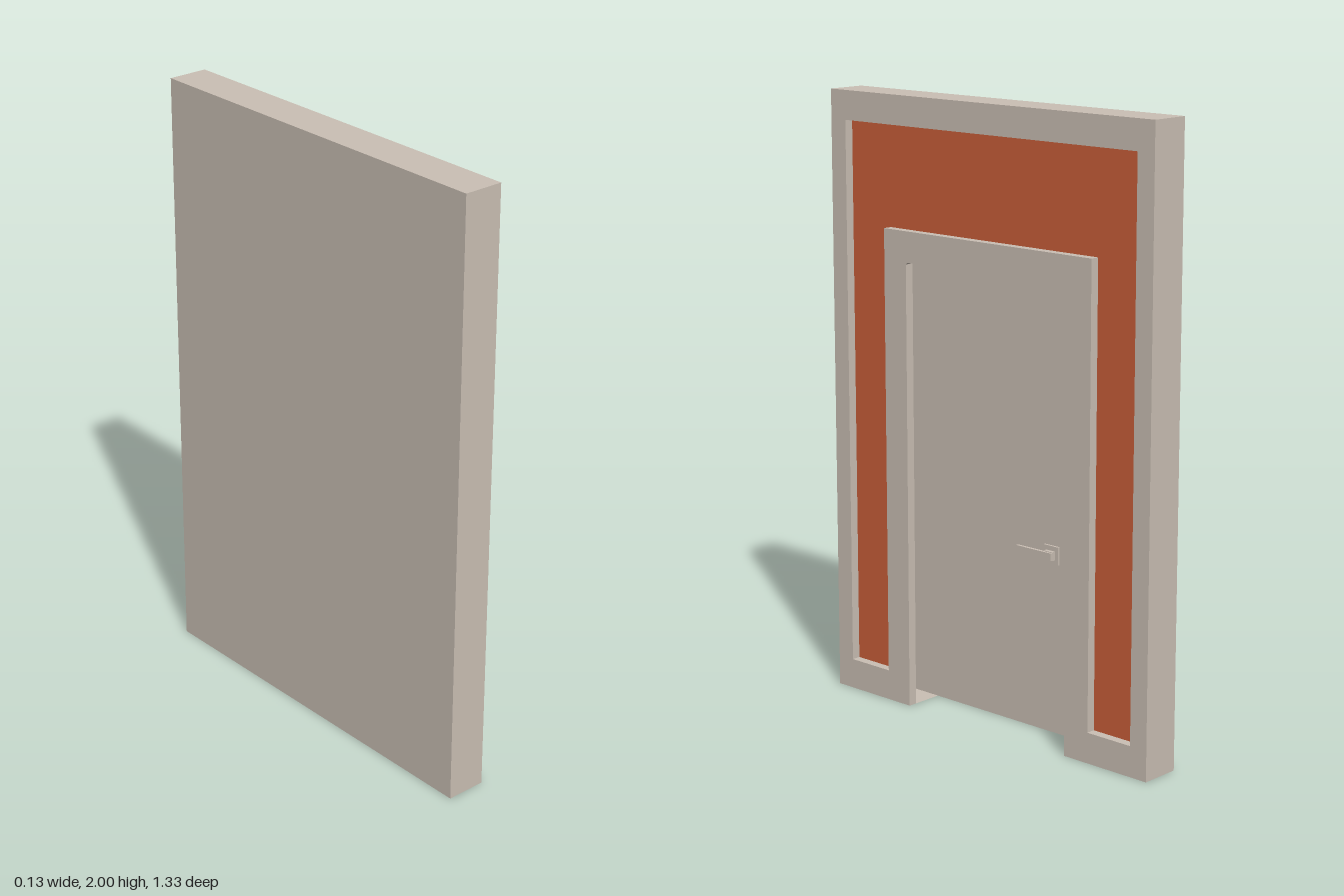
import * as THREE from 'three';

const T = 0.067, H = 2, W = 0.667; // half thickness, height, half width
const RECESS = 0.03, DOOR_W = 0.337, DOOR_H = 1.475;
const INNER = T - RECESS;

const beige = new THREE.MeshStandardMaterial({ color: 0xcabfb4, side: THREE.DoubleSide });
beige.name = 'beige';
const orange = new THREE.MeshStandardMaterial({ color: 0xca5f39, side: THREE.DoubleSide });
orange.name = 'orange';

const points = list => list.map(([x, y]) => new THREE.Vector2(x, y));

// U-shaped recess around the doorway
const recessOutline = points([
  [-0.603, 0.1], [-0.433, 0.1], [-0.433, 1.575], [0.433, 1.575],
  [0.433, 0.1], [0.603, 0.1], [0.603, 1.905], [-0.603, 1.905],
]);

export function createModel() {
  const group = new THREE.Group();

  const add = (name, geometry, material, parent = group) => {
    const mesh = new THREE.Mesh(geometry, material);
    mesh.name = name;
    parent.add(mesh);
    return mesh;
  };

  // Front frame with doorway notch, facing +x
  const frame = new THREE.Shape(points([
    [-W, 0], [-DOOR_W, 0], [-DOOR_W, DOOR_H - 0.006], [-DOOR_W + 0.006, DOOR_H],
    [DOOR_W - 0.006, DOOR_H], [DOOR_W, DOOR_H - 0.006], [DOOR_W, 0],
    [W, 0], [W, H], [-W, H],
  ]));
  frame.holes.push(new THREE.Path(recessOutline));
  add('frontFrame', new THREE.ExtrudeGeometry(frame, { depth: RECESS, bevelEnabled: false })
    .rotateY(Math.PI / 2).translate(INNER, 0, 0), beige);

  // Coloured panel at the bottom of the recess
  add('recessPanel', new THREE.ShapeGeometry(new THREE.Shape(recessOutline))
    .rotateY(Math.PI / 2).translate(INNER, 0, 0), orange);

  // Hollow wall shell, open below the door
  const depth = T + INNER, midX = (INNER - T) / 2;
  add('backWall', new THREE.PlaneGeometry(2 * W, H).rotateY(-Math.PI / 2).translate(-T, H / 2, 0), beige);
  add('topWall', new THREE.PlaneGeometry(depth, 2 * W).rotateX(-Math.PI / 2).translate(midX, H, 0), beige);
  for (const s of [1, -1]) {
    add('sideWall', new THREE.PlaneGeometry(depth, H)
      .rotateY(s > 0 ? 0 : Math.PI).translate(midX, H / 2, s * W), beige);
    add('footPlate', new THREE.PlaneGeometry(depth, W - DOOR_W)
      .rotateX(Math.PI / 2).translate(midX, 0, s * (W + DOOR_W) / 2), beige);
  }

  // Door handle: square rose, neck and lever
  const handle = new THREE.Group();
  handle.name = 'doorHandle';
  group.add(handle);
  const box = (name, x0, x1, y0, y1, z0, z1) => add(name,
    new THREE.BoxGeometry(x1 - x0, y1 - y0, z1 - z0)
      .translate((x0 + x1) / 2, (y0 + y1) / 2, (z0 + z1) / 2), beige, handle);
  box('rose', INNER - 0.002, INNER + 0.006, 0.6, 0.658, -0.287, -0.228);
  box('neck', INNER, 0.056, 0.615, 0.643, -0.275, -0.24);
  box('lever', 0.054, 0.064, 0.617, 0.641, -0.275, -0.132);

  return group;
}
